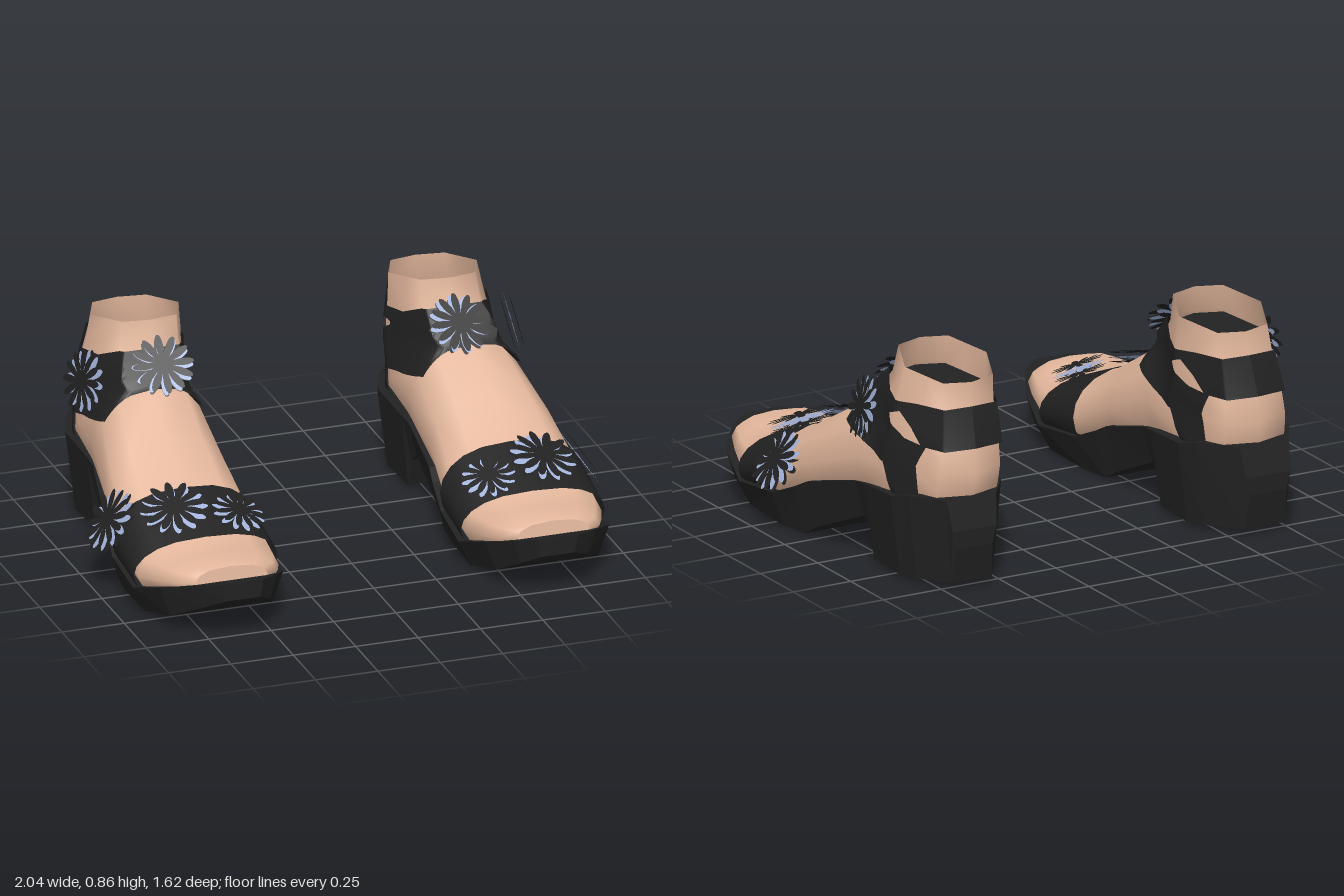
import * as THREE from 'three';

const mat = (name, color) => new THREE.MeshStandardMaterial({ name, color, side: THREE.DoubleSide });
const skin = mat('skin', 0xe3b79c);
const black = mat('blackLeather', 0x212121);
const blue = mat('paleBlue', 0xa3b3dc);

// Foot rings from toes to ankle: upper z, y, lower z, y, inner x, outer x
const RINGS = [
  [0.705, 0.268, 0.72, 0.17, 0.50, 0.79],
  [0.67, 0.278, 0.67, 0.14, 0.445, 0.845],
  [0.58, 0.28, 0.58, 0.10, 0.41, 0.885],
  [0.45, 0.28, 0.45, 0.05, 0.38, 0.93],
  [0.20, 0.38, 0.20, 0.05, 0.385, 0.93],
  [0.00, 0.50, 0.00, 0.12, 0.405, 0.90],
  [-0.19, 0.62, -0.38, 0.20, 0.415, 0.855],
  [-0.20, 0.63, -0.72, 0.21, 0.41, 0.845],
  [-0.22, 0.655, -0.77, 0.36, 0.41, 0.84],
  [-0.245, 0.68, -0.785, 0.44, 0.41, 0.83],
  [-0.27, 0.71, -0.765, 0.55, 0.41, 0.82],
  [-0.305, 0.75, -0.72, 0.70, 0.415, 0.795],
  [-0.325, 0.855, -0.715, 0.79, 0.42, 0.775],
];

// Sole sections from toe to heel: z, inner x, outer x, bottom y, top y
const SOLE = [
  [0.805, 0.55, 0.71, 0.17, 0.24],
  [0.745, 0.475, 0.80, 0.13, 0.225],
  [0.62, 0.405, 0.90, 0.06, 0.18],
  [0.44, 0.36, 0.945, 0.012, 0.115],
  [0.20, 0.375, 0.94, 0, 0.14],
  [0.065, 0.39, 0.92, 0.005, 0.20],
  [0.00, 0.40, 0.905, 0.045, 0.235],
  [-0.23, 0.41, 0.86, 0.145, 0.30],
  [-0.275, 0.41, 0.85, 0.165, 0.31],
  [-0.32, 0.405, 0.85, 0.13, 0.315],
  [-0.35, 0.40, 0.85, 0.015, 0.32],
  [-0.56, 0.39, 0.86, 0.015, 0.335],
  [-0.64, 0.425, 0.83, 0.02, 0.355],
  [-0.785, 0.53, 0.745, 0.03, 0.36],
  [-0.812, 0.545, 0.735, 0.17, 0.24],
];

const { lerp, clamp } = THREE.MathUtils;

function ringAt(u) {
  const i = Math.min(Math.floor(u), RINGS.length - 2);
  return RINGS[i].map((v, k) => lerp(v, RINGS[i + 1][k], u - i));
}

// Point on foot ring u: s runs from lower to upper end; round at the toes, six-sided at the ankle
function ringPoint(u, s, side, grow) {
  const [tz, ty, bz, by, xi, xo] = ringAt(u);
  const q = Math.min(1, Math.abs(2 * s - 1));
  const round = (1 - q * q) ** 0.375;
  const hex = (1 - 0.45 * q) * Math.min(1, (1 - q) * 60);
  const c = side * lerp(round, hex, clamp((u - 6) / 2, 0, 1));
  const t = 0.5 + (s - 0.5) * grow;
  return [(xi + xo) / 2 + ((xo - xi) / 2) * grow * c, lerp(by, ty, t), lerp(bz, tz, t)];
}

function footRing(u, grow = 1, n = 12) {
  return Array.from({ length: n }, (_, i) => {
    const a = (i / n) * Math.PI * 2;
    return ringPoint(u, (1 + Math.sin(a)) / 2, Math.sign(Math.cos(a)), grow);
  });
}

// Places a side-plane point (z, y) on the foot surface, slightly raised
function onFoot(z, y, side, grow) {
  let lo = 0, hi = RINGS.length - 1;
  for (let k = 0; k < 30; k++) {
    const m = (lo + hi) / 2, [tz, ty, bz, by] = ringAt(m);
    if ((tz - bz) * (y - by) - (ty - by) * (z - bz) > 0) lo = m; else hi = m;
  }
  const r = ringAt(lo), dz = r[0] - r[2], dy = r[1] - r[3];
  const s = clamp(((z - r[2]) * dz + (y - r[3]) * dy) / (dz * dz + dy * dy), 0, 1);
  return ringPoint(lo, s, side, grow);
}

function build(points, index, flat) {
  let g = new THREE.BufferGeometry();
  g.setAttribute('position', new THREE.Float32BufferAttribute(points.flat(), 3));
  g.setIndex(index);
  if (flat) g = g.toNonIndexed();
  g.computeVertexNormals();
  return g;
}

function loft(rings, { start = false, end = false, flat = false } = {}) {
  const n = rings[0].length, pts = rings.flat(), idx = [];
  for (let j = 0; j < rings.length - 1; j++) {
    for (let i = 0; i < n; i++) {
      const a = j * n + i, b = j * n + (i + 1) % n;
      idx.push(a, a + n, b + n, a, b + n, b);
    }
  }
  const cap = (ring, flip) => {
    const base = pts.length;
    pts.push(...ring, [0, 1, 2].map(k => ring.reduce((t, p) => t + p[k], 0) / n));
    for (let i = 0; i < n; i++) {
      const a = base + i, b = base + (i + 1) % n;
      idx.push(base + n, flip ? b : a, flip ? a : b);
    }
  };
  if (start) cap(rings[0], false);
  if (end) cap(rings[rings.length - 1], true);
  return build(pts, idx, flat);
}

// Strap strip between two edges, each pair being [z, y, z, y]
function strip(pairs, side, grow) {
  const D = 8, pts = [], idx = [], rows = (pairs.length - 1) * D;
  for (let j = 0; j <= rows; j++) {
    const k = Math.min(Math.floor(j / D), pairs.length - 2);
    const p = pairs[k].map((v, q) => lerp(v, pairs[k + 1][q], j / D - k));
    for (let i = 0; i <= D; i++) {
      pts.push(onFoot(lerp(p[0], p[2], i / D), lerp(p[1], p[3], i / D), side, grow));
      if (j < rows && i < D) {
        const a = j * (D + 1) + i, b = a + D + 1;
        if (side > 0) idx.push(a, a + 1, b + 1, a, b + 1, b);
        else idx.push(a, b + 1, a + 1, a, b, b + 1);
      }
    }
  }
  return build(pts, idx, false);
}

function add(group, name, geometry, material) {
  const m = new THREE.Mesh(geometry, material);
  m.name = name;
  group.add(m);
  return m;
}

// Flat daisy outline with twelve petals
function daisy(radius, inner) {
  const N = 12, S = 10, pts = [];
  for (let i = 0; i < N * S; i++) {
    const a = (i / (N * S)) * Math.PI * 2;
    const r = inner + (radius - inner) * Math.abs(Math.cos(a * N / 2)) ** 0.8;
    pts.push(new THREE.Vector2(r * Math.cos(a), r * Math.sin(a)));
  }
  return new THREE.ShapeGeometry(new THREE.Shape(pts));
}

// Three stacked daisies, the pale one showing between the dark petals
function flower(name, position, normal, radius) {
  const g = new THREE.Group();
  g.name = name;
  const layers = [['upperPetals', black, 0.014, 0], ['palePetals', blue, -0.006, 0.07], ['lowerPetals', black, -0.022, 0.03]];
  for (const [part, material, z, turn] of layers) {
    const m = add(g, part, daisy(radius, radius * 0.33), material);
    m.position.z = z;
    m.rotation.z = turn;
  }
  g.position.set(...position);
  g.quaternion.setFromUnitVectors(new THREE.Vector3(0, 0, 1), new THREE.Vector3(...normal).normalize());
  return g;
}

function makeFoot(name) {
  const g = new THREE.Group();
  g.name = name;

  // Foot with open ankle and dark filling
  add(g, 'foot', loft(RINGS.map((_, u) => footRing(u)), { start: true }), skin);
  add(g, 'ankleFill', loft([footRing(10.8, 0.97)], { end: true }), black);

  // Platform sole with block heel
  add(g, 'sole', loft(SOLE.map(([z, xi, xo, b, t]) => {
    const inset = (xo - xi) * 0.085;
    return [[xo - inset, b, z], [xo, t, z], [xi, t, z], [xi + inset, b, z]];
  }), { start: true, end: true, flat: true }), black);

  // Toe strap
  add(g, 'toeStrap', loft([3, 3.33, 3.66, 4].map(u => footRing(u, 1.05, 20))), black);

  // Ankle straps on both sides of the foot
  const straps = {
    instepStrap: [[-0.305, 0.75, -0.19, 0.62], [-0.33, 0.745, -0.185, 0.52],
      [-0.42, 0.70, -0.33, 0.48], [-0.48, 0.65, -0.48, 0.45]],
    heelStrap: [[-0.42, 0.70, -0.46, 0.63], [-0.53, 0.695, -0.54, 0.66], [-0.60, 0.70, -0.60, 0.61],
      [-0.66, 0.70, -0.65, 0.55], [-0.72, 0.70, -0.765, 0.55]],
    sideStrap: [[-0.44, 0.65, -0.49, 0.62], [-0.45, 0.55, -0.58, 0.565],
      [-0.48, 0.46, -0.67, 0.55], [-0.50, 0.40, -0.635, 0.47], [-0.52, 0.32, -0.65, 0.34]],
  };
  for (const [part, pairs] of Object.entries(straps)) {
    for (const side of [1, -1]) add(g, part + (side > 0 ? 'Outer' : 'Inner'), strip(pairs, side, 1.055), black);
  }

  // Flowers on the straps
  g.add(
    flower('instepFlower', [0.595, 0.715, -0.205], [0.07, 0.7, 0.72], 0.12),
    flower('ankleFlower', [0.86, 0.63, -0.35], [0.93, 0.25, 0.2], 0.12),
    flower('innerToeFlower', [0.50, 0.34, 0.385], [-0.2, 0.93, 0.33], 0.105),
    flower('middleToeFlower', [0.74, 0.365, 0.33], [0.15, 0.93, 0.33], 0.13),
    flower('outerToeFlower', [0.94, 0.28, 0.165], [0.82, 0.57, 0.05], 0.125),
  );
  return g;
}

export function createModel() {
  const model = new THREE.Group();
  model.name = 'sandalPair';
  const right = makeFoot('rightSandal');
  right.scale.x = -1;
  model.add(makeFoot('leftSandal'), right);
  return model;
}
